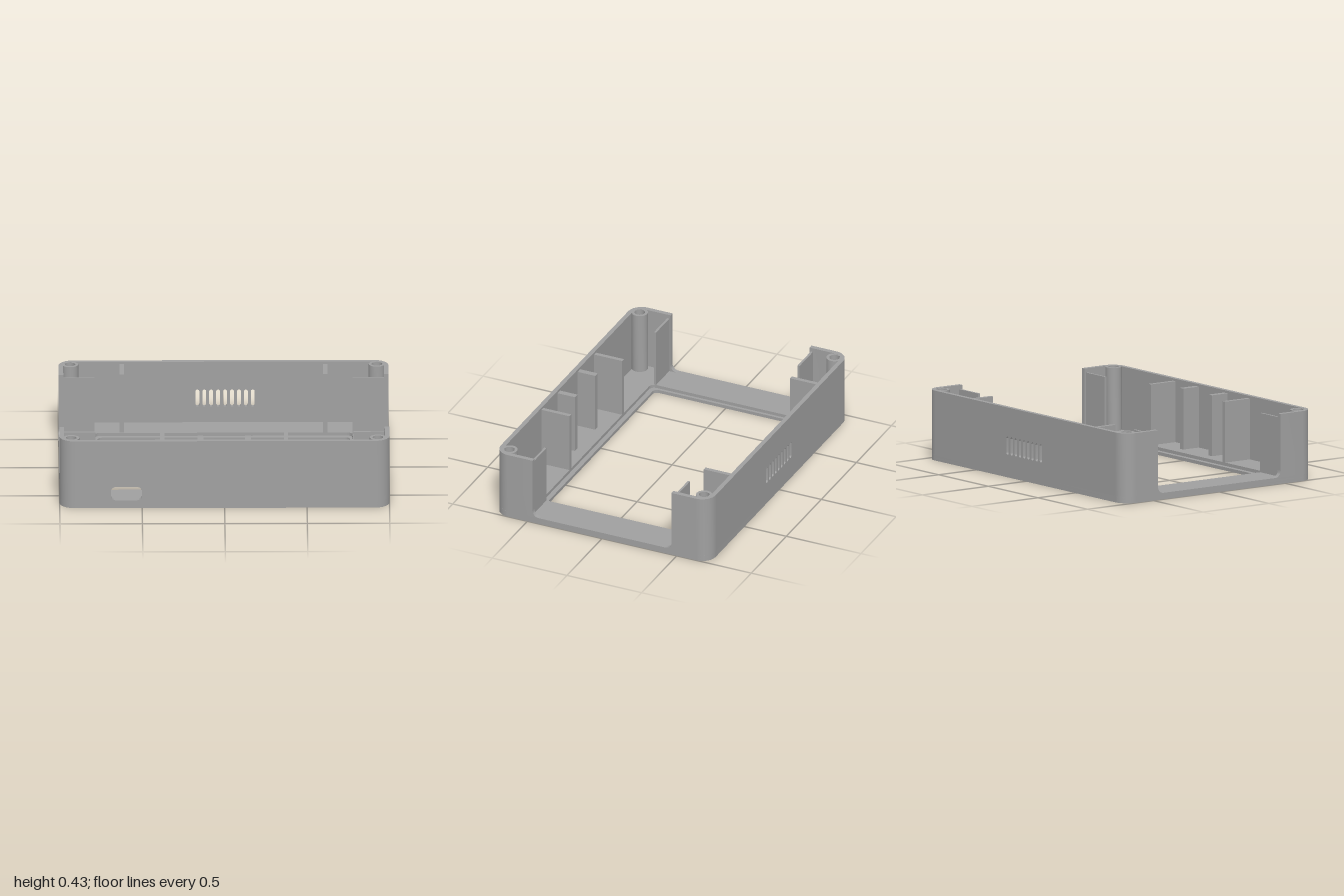
import * as THREE from 'three';
import { toCreasedNormals } from 'three/addons/utils/BufferGeometryUtils.js';

const W = 1, D = 0.72, H = 0.43;      // half width, half depth, height
const T = 0.028, R = 0.09;            // wall thickness, corner radius
const FLOOR = 0.04, OPEN = 0.465;     // floor thickness, half length of side openings
const RIB_TOP = 0.415;

// Rounded rectangle between two corners
function roundRect(x0, y0, x1, y1, r, Type = THREE.Shape) {
  const s = new Type();
  s.absarc(x1 - r, y1 - r, r, 0, Math.PI / 2);
  s.absarc(x0 + r, y1 - r, r, Math.PI / 2, Math.PI);
  s.absarc(x0 + r, y0 + r, r, Math.PI, Math.PI * 1.5);
  s.absarc(x1 - r, y0 + r, r, Math.PI * 1.5, Math.PI * 2);
  s.closePath();
  return s;
}

function extrude(shape, depth) {
  const g = new THREE.ExtrudeGeometry(shape, { depth, bevelEnabled: false, curveSegments: 10 });
  return toCreasedNormals(g, 0.5);
}

// Extrude a plan shape (x, -z) upwards from y0 to y1
function slab(shape, y0, y1) {
  return extrude(shape, y1 - y0).rotateX(-Math.PI / 2).translate(0, y0, 0);
}

function box(x0, x1, y0, y1, z0, z1) {
  return new THREE.BoxGeometry(x1 - x0, y1 - y0, z1 - z0)
    .translate((x0 + x1) / 2, (y0 + y1) / 2, (z0 + z1) / 2);
}

export function createModel() {
  const model = new THREE.Group();
  const grey = new THREE.MeshStandardMaterial({ color: 0xa0a0a0 });
  grey.name = 'grey plastic';
  const add = (name, geometry) => {
    const m = new THREE.Mesh(geometry, grey);
    m.name = name;
    model.add(m);
  };

  // Floor frame in two layers, leaving a recessed ledge around the window
  const lower = roundRect(-W, -D, W, D, R);
  lower.holes.push(roundRect(-0.765, -0.475, 0.765, 0.475, 0.03, THREE.Path));
  add('floorLower', slab(lower, 0, FLOOR / 2));
  const upper = roundRect(-W, -D, W, D, R);
  upper.holes.push(roundRect(-0.783, -0.505, 0.783, 0.505, 0.035, THREE.Path));
  add('floorUpper', slab(upper, FLOOR / 2, FLOOR));

  // Long walls, with a port at the front and vent slots at the back
  const wallShape = () => new THREE.Shape([
    new THREE.Vector2(-W + R, FLOOR), new THREE.Vector2(W - R, FLOOR),
    new THREE.Vector2(W - R, H), new THREE.Vector2(-W + R, H),
  ]);
  const front = wallShape();
  front.holes.push(roundRect(-0.69, 0.05, -0.5, 0.135, 0.03, THREE.Path));
  add('frontWall', extrude(front, T).translate(0, 0, D - T));
  const back = wallShape();
  for (let i = -4; i <= 4; i++) {
    const x = 0.01 + i * 0.042;
    back.holes.push(roundRect(x - 0.012, 0.14, x + 0.012, 0.25, 0.0115, THREE.Path));
  }
  add('backWall', extrude(back, T).translate(0, 0, -D));

  for (const sx of [-1, 1]) for (const sz of [-1, 1]) {
    // Rounded corner with a short return along the side
    const pts = [];
    const n = 12, cx = W - R, cz = D - R;
    const put = (x, z) => pts.push(new THREE.Vector2(sx * x, -sz * z));
    put(W, OPEN);
    for (let i = 0; i <= n; i++) {
      const a = (i / n) * Math.PI / 2;
      put(cx + R * Math.cos(a), cz + R * Math.sin(a));
    }
    for (let i = n; i >= 0; i--) {
      const a = (i / n) * Math.PI / 2;
      put(cx + (R - T) * Math.cos(a), cz + (R - T) * Math.sin(a));
    }
    put(W - T, OPEN);
    add('cornerWall', slab(new THREE.Shape(pts), FLOOR, H));

    // Fillet where the side opening meets the floor
    const f = 0.04, arc = [new THREE.Vector2(-sz * OPEN, FLOOR)];
    for (let i = 0; i <= 8; i++) {
      const a = (i / 8) * Math.PI / 2;
      arc.push(new THREE.Vector2(-sz * (OPEN - f + f * Math.sin(a)), FLOOR + f - f * Math.cos(a)));
    }
    add('openingFillet', extrude(new THREE.Shape(arc), T)
      .rotateY(Math.PI / 2).translate(sx > 0 ? W - T : -W, 0, 0));

    // Screw post with a blind hole
    const post = new THREE.Shape().absarc(sx * 0.93, -sz * 0.652, 0.05, 0, Math.PI * 2);
    post.holes.push(new THREE.Path().absarc(sx * 0.93, -sz * 0.652, 0.032, 0, Math.PI * 2));
    add('screwPost', slab(post, FLOOR, H - 0.001));

    // Thin panel closing the compartment beside the opening
    const xs = [sx * 0.783, sx * (W - T)].sort((a, b) => a - b);
    const zs = [sz * 0.474, sz * 0.488].sort((a, b) => a - b);
    add('sidePanel', box(xs[0], xs[1], FLOOR, 0.405, zs[0], zs[1]));
  }

  // Ribs against the back wall
  for (const x of [-0.617, 0.617])
    add('backRib', box(x - 0.013, x + 0.013, FLOOR, RIB_TOP, -D + T, -0.508));

  // Long and short ribs against the front wall
  for (const x of [-0.377, 0.373])
    add('frontRib', box(x - 0.013, x + 0.013, FLOOR, RIB_TOP, 0.505, D - T));
  for (const x of [-0.147, 0.142])
    add('frontShortRib', box(x - 0.018, x + 0.018, FLOOR, RIB_TOP, 0.575, D - T));

  return model;
}
